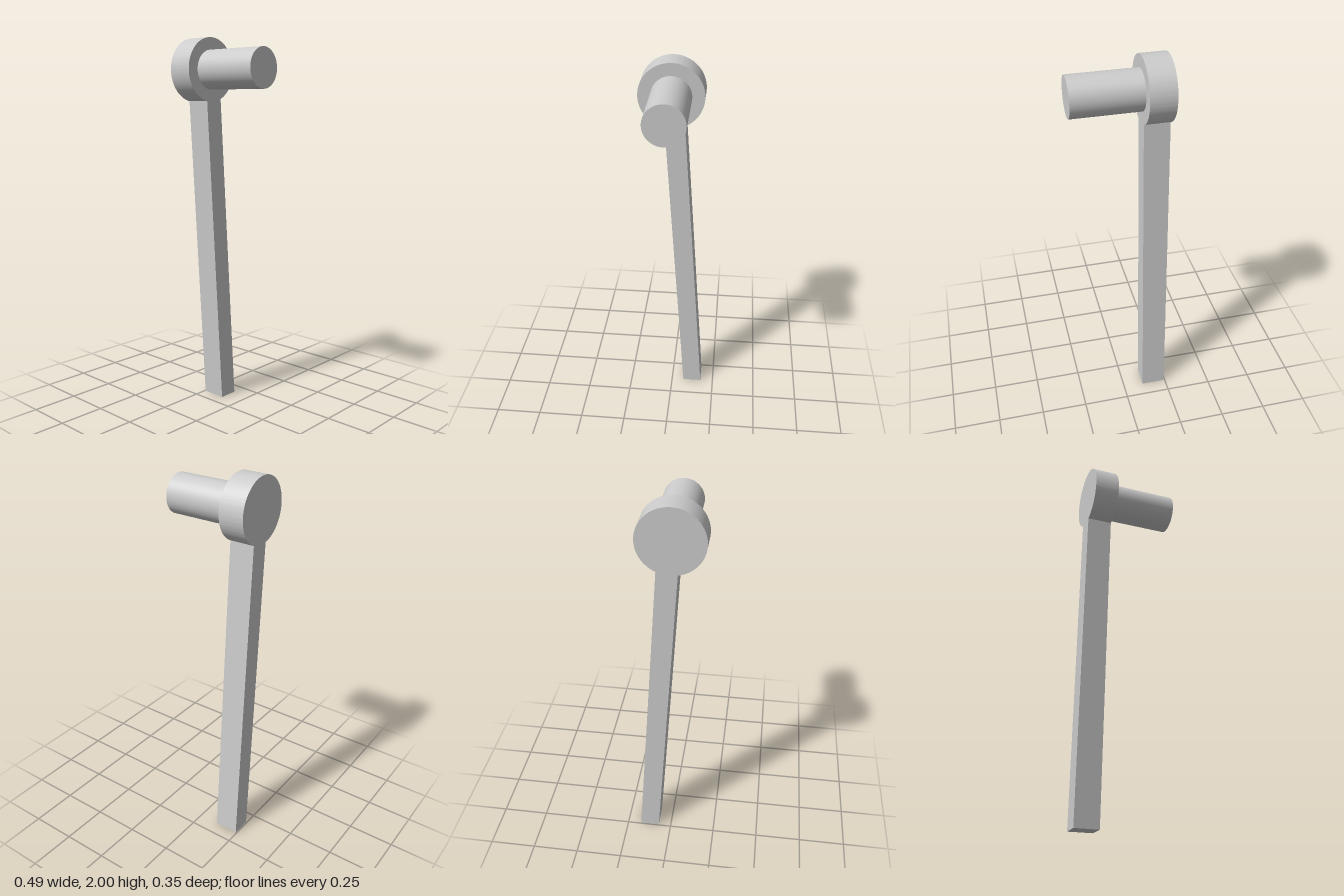
import * as THREE from 'three';
import { toCreasedNormals } from 'three/addons/utils/BufferGeometryUtils.js';

const HEAD = { z: 0.007, y: 1.835, r: 0.165 };
const X_OUTER = -0.244, X_INNER = -0.112, X_TIP = 0.244;

export function createModel() {
  const group = new THREE.Group();
  const material = new THREE.MeshStandardMaterial({ color: 0xcccccc });

  // Lever: round head and slanted arm in one side outline (shape x is model z)
  const angleAt = (z) => -Math.acos((z - HEAD.z) / HEAD.r);
  const outline = new THREE.Shape();
  outline.moveTo(-0.175, 0);
  outline.lineTo(-0.07, 0);
  outline.absarc(HEAD.z, HEAD.y, HEAD.r, angleAt(0.04), angleAt(-0.062) + Math.PI * 2, false);
  outline.closePath();
  const leverGeometry = toCreasedNormals(
    new THREE.ExtrudeGeometry(outline, {
      depth: X_INNER - X_OUTER, bevelEnabled: false, curveSegments: 64,
    }),
    Math.PI / 6,
  );
  const lever = new THREE.Mesh(leverGeometry, material);
  lever.name = 'leverArm';
  lever.rotation.y = -Math.PI / 2;
  lever.position.x = X_INNER;
  group.add(lever);

  // Pin: round shaft out of the head, sunk slightly into it
  const start = X_INNER - 0.02;
  const pin = new THREE.Mesh(
    new THREE.CylinderGeometry(0.102, 0.102, X_TIP - start, 64), material);
  pin.name = 'pivotPin';
  pin.rotation.z = -Math.PI / 2;
  pin.position.set((start + X_TIP) / 2, HEAD.y, HEAD.z);
  group.add(pin);

  return group;
}
